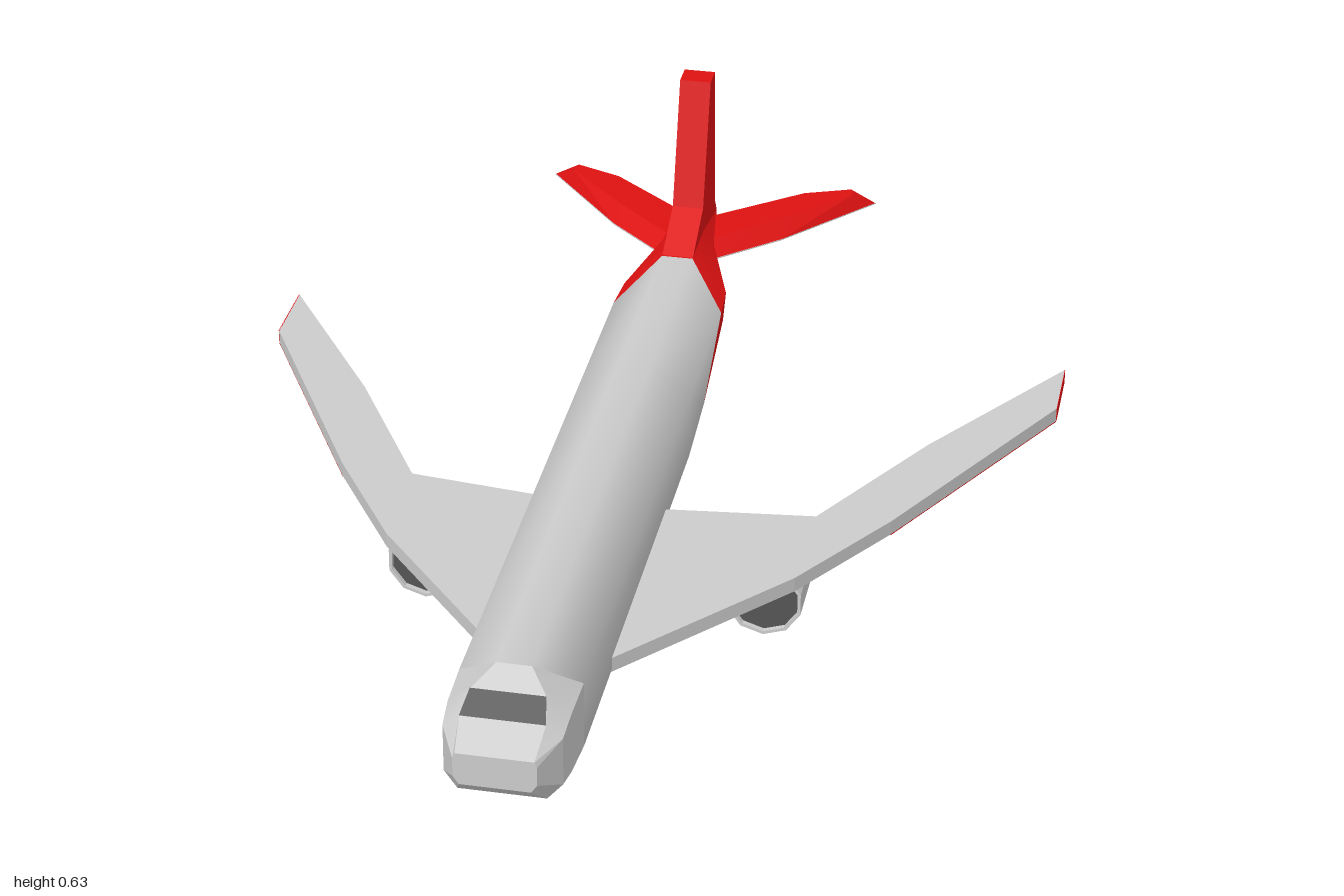
import * as THREE from 'three';
import { toCreasedNormals } from 'three/addons/utils/BufferGeometryUtils.js';

const mat = (color, extra = {}) => new THREE.MeshStandardMaterial({ color, ...extra });
const GREY = mat(0xcccccc);
const RED = mat(0xdd1111);
const DARK = mat(0x555555);
const HULL = mat(0xcccccc, { side: THREE.DoubleSide, flatShading: true });

function add(parent, name, geometry, material, x = 0, y = 0, z = 0) {
  const mesh = new THREE.Mesh(geometry, material);
  mesh.name = name;
  mesh.position.set(x, y, z);
  parent.add(mesh);
  return mesh;
}

// Skin over rings of points; capStart / capEnd close the two ends
function loft(rings, crease, capStart = true, capEnd = true) {
  const n = rings[0].length, index = [];
  for (let i = 0; i < rings.length - 1; i++) {
    for (let j = 0; j < n; j++) {
      const a = i * n + j, b = i * n + (j + 1) % n;
      index.push(a, a + n, b, b, a + n, b + n);
    }
  }
  const last = (rings.length - 1) * n;
  for (let j = 1; j < n - 1; j++) {
    if (capStart) index.push(0, j, j + 1);
    if (capEnd) index.push(last, last + j + 1, last + j);
  }
  const geo = new THREE.BufferGeometry();
  geo.setAttribute('position', new THREE.Float32BufferAttribute(rings.flat(2), 3));
  geo.setIndex(index);
  return toCreasedNormals(geo, crease);
}

// Mirrors a half section (top, shoulder, lower side, belly) into an 8-sided ring
const hoop = (half) => [...half].reverse().concat(half.map(([x, y, z]) => [-x, y, z]));

// Plan outline in (x, z) extruded downwards from yTop
function slab(outline, yTop, thickness) {
  const shape = new THREE.Shape(outline.map(([x, z]) => new THREE.Vector2(x, z)));
  const geo = new THREE.ExtrudeGeometry(shape, { depth: thickness, bevelEnabled: false });
  return geo.rotateX(Math.PI / 2).translate(0, yTop, 0);
}

function addFuselage(plane) {
  const barrel = (z, zTop = z) => [[0.03, 0.337, zTop], [0.105, 0.28, z], [0.105, 0.155, z], [0.07, 0.115, z]];
  const nose = [
    [[0.066, 0.255, 1], [0.07, 0.245, 1], [0.07, 0.21, 1], [0.06, 0.195, 1]],
    [[0.072, 0.286, 0.94], [0.1, 0.265, 0.94], [0.1, 0.175, 0.94], [0.075, 0.15, 0.95]],
    [[0.064, 0.311, 0.895], [0.103, 0.278, 0.89], [0.103, 0.165, 0.89], [0.073, 0.137, 0.88]],
    barrel(0.8, 0.85),
  ];
  // Slanted joint between grey body and red tail
  const joint = [[0.03, 0.337, -0.58], [0.105, 0.28, -0.48], [0.105, 0.18, -0.3], [0.07, 0.15, -0.29]];
  const tail = [
    joint,
    [[0.03, 0.337, -0.62], [0.1, 0.28, -0.56], [0.095, 0.22, -0.56], [0.06, 0.2, -0.56]],
    [[0.03, 0.337, -0.7], [0.05, 0.31, -0.7], [0.05, 0.25, -0.7], [0.035, 0.225, -0.7]],
    [[0.03, 0.335, -0.82], [0.03, 0.31, -0.84], [0.03, 0.27, -0.84], [0.02, 0.252, -0.84]],
  ];
  add(plane, 'nose', loft(nose.map(hoop), 0.3, true, false), GREY);
  add(plane, 'fuselage', loft([barrel(0.8, 0.85), barrel(-0.15), joint].map(hoop), 1, false, false), GREY);
  add(plane, 'tailCone', loft(tail.map(hoop), 0.6, false, true), RED);

  // Windscreen laid just over the sloping nose
  const pane = (x, y, z) => [[-x, y, z], [x, y, z]];
  const lower = pane(0.072, 0.288, 0.941), upper = pane(0.064, 0.313, 0.896);
  const glass = new THREE.BufferGeometry();
  glass.setAttribute('position', new THREE.Float32BufferAttribute([...lower, ...upper].flat(), 3));
  glass.setIndex([0, 1, 3, 0, 3, 2]);
  glass.computeVertexNormals();
  add(plane, 'windscreen', glass, DARK);

  // Upright fin with its sloping root
  const fin = new THREE.Shape([
    [-0.58, 0.335], [-0.69, 0.39], [-0.757, 0.63], [-0.805, 0.63],
    [-0.825, 0.34], [-0.845, 0.31], [-0.84, 0.29], [-0.6, 0.29],
  ].map(([z, y]) => new THREE.Vector2(-z, y)));
  const finGeo = new THREE.ExtrudeGeometry(fin, { depth: 0.06, bevelEnabled: false });
  add(plane, 'fin', finGeo.translate(0, 0, -0.03).rotateY(Math.PI / 2), RED);
}

function addWing(side) {
  // Swept wing with a red tip and red outer underside
  const outline = [
    [0.03, 0.66], [0.105, 0.57], [0.37, 0.26], [0.51, 0.04], [0.76, -0.42],
    [0.76, -0.57], [0.54, -0.24], [0.375, 0.05], [0.105, 0.08], [0.03, 0.09],
  ];
  outline[7] = [0.375, 0.05];
  add(side, 'wing', slab(outline, 0.178, 0.028), GREY);
  add(side, 'wingUnderside', slab(outline.slice(3, 7), 0.1505, 0.002), RED);
  add(side, 'wingTip', new THREE.BoxGeometry(0.002, 0.028, 0.148), RED, 0.76, 0.164, -0.495);
}

function addStabiliser(side) {
  // Bevelled tailplane: the top outline is smaller than the bottom one
  const bottom = [[0.03, -0.83], [0.19, -0.955], [0.285, -0.995], [0.33, -0.99], [0.167, -0.795], [0.03, -0.67]];
  const top = [[0.03, -0.82], [0.19, -0.95], [0.28, -0.985], [0.285, -0.96], [0.165, -0.835], [0.03, -0.71]];
  const level = (pts, y) => pts.map(([x, z]) => [x, y, z]);
  add(side, 'stabiliser', loft([level(bottom, 0.28), level(top, 0.309)], 0.2), RED);
  add(side, 'stabiliserUnderside', slab(bottom, 0.281, 0.002), GREY);
}

function addEngine(side) {
  // Ten-sided open nacelle with a dark fan inside
  const profile = [[0.064, 0], [0.07, 0], [0.07, 0.145], [0.064, 0.145], [0.064, 0]];
  const shell = new THREE.LatheGeometry(profile.map(([r, y]) => new THREE.Vector2(r, y)), 10);
  add(side, 'nacelle', shell.rotateX(Math.PI / 2), HULL, 0.31, 0.099, 0.08);
  const fan = new THREE.CylinderGeometry(0.065, 0.065, 0.1, 10).rotateX(Math.PI / 2);
  add(side, 'fan', fan, DARK, 0.31, 0.099, 0.165);
}

function addGear(plane, name, x, z, radius, width, track, axleY, topY) {
  // Strut, axle and a pair of wheels
  const gear = new THREE.Group();
  gear.name = name;
  gear.position.set(x, axleY, z);
  const h = topY - axleY;
  add(gear, 'strut', new THREE.CylinderGeometry(0.004, 0.004, h, 8), GREY, 0, h / 2, 0);
  add(gear, 'axle', new THREE.CylinderGeometry(0.004, 0.004, track * 2, 8).rotateZ(Math.PI / 2), GREY);
  const r = radius, w = width / 2;
  const tyre = [[0, -w], [r * 0.8, -w], [r, -w * 0.5], [r, w * 0.5], [r * 0.8, w], [0, w]];
  for (const s of [-1, 1]) {
    const geo = new THREE.LatheGeometry(tyre.map(([a, b]) => new THREE.Vector2(a, b)), 12);
    add(gear, 'wheel', toCreasedNormals(geo.rotateZ(Math.PI / 2), 0.6), DARK, s * track, 0, 0);
  }
  plane.add(gear);
}

export function createModel() {
  const plane = new THREE.Group();
  plane.name = 'airliner';
  addFuselage(plane);
  for (const s of [1, -1]) {
    const side = new THREE.Group();
    side.name = s > 0 ? 'leftSide' : 'rightSide';
    side.scale.x = s;
    addWing(side);
    addStabiliser(side);
    addEngine(side);
    plane.add(side);
    addGear(plane, s > 0 ? 'leftGear' : 'rightGear', 0.016 + s * 0.147, 0.107, 0.044, 0.024, 0.027, 0.046, 0.16);
  }
  addGear(plane, 'noseGear', 0.013, 0.735, 0.024, 0.016, 0.017, 0.062, 0.13);
  return plane;
}
